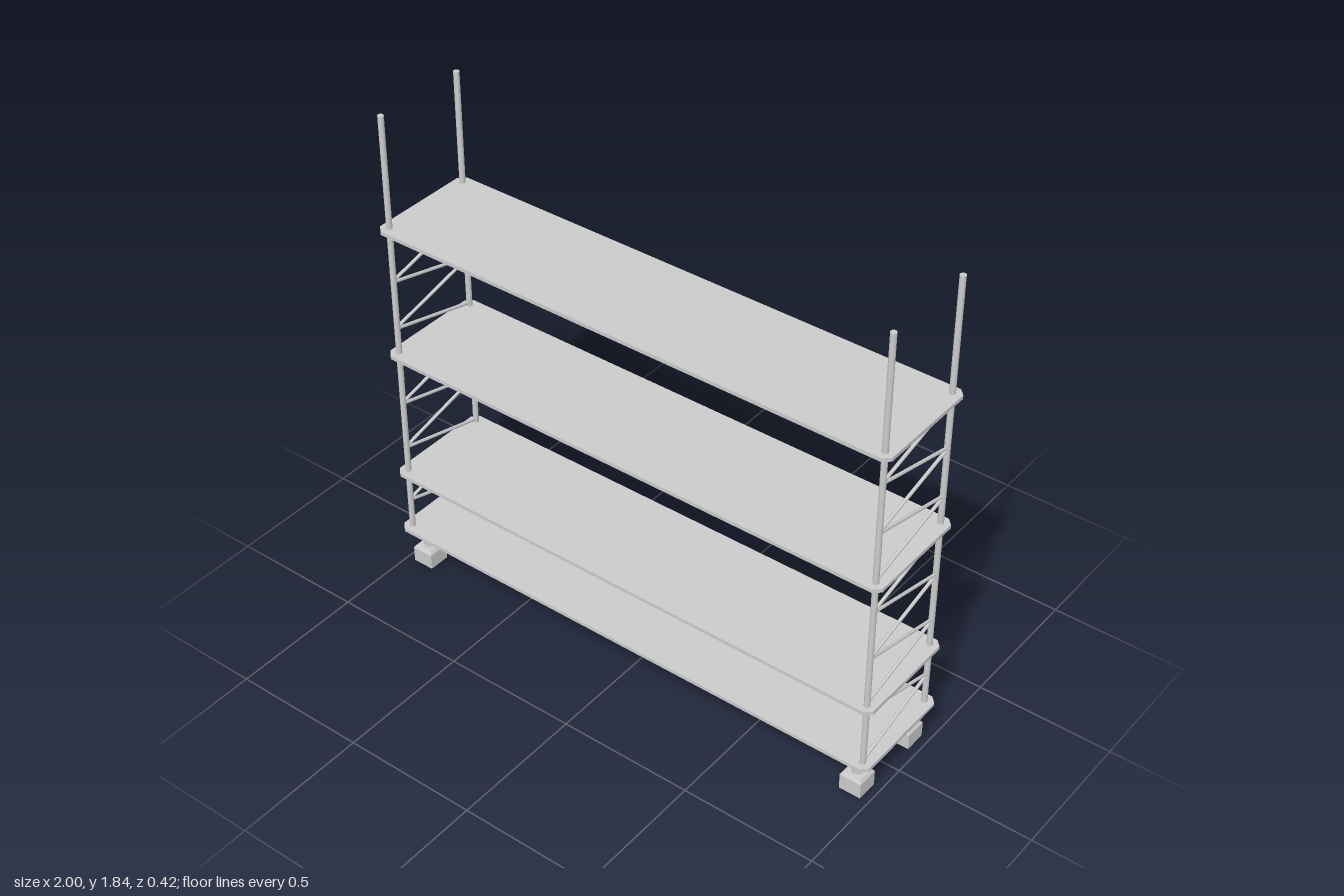
import * as THREE from 'three';

const material = new THREE.MeshStandardMaterial({ color: 0xcccccc });
const POST_X = 0.968, POST_Z = 0.18;
const SHELF_T = 0.014;
const SHELF_Y = [0.155, 0.405, 0.912, 1.411]; // shelf centre heights
const BRACES = [2, 5, 5];                      // diagonals per bay

function add(parent, name, geometry, x = 0, y = 0, z = 0) {
  const mesh = new THREE.Mesh(geometry, material);
  mesh.name = name;
  mesh.position.set(x, y, z);
  parent.add(mesh);
  return mesh;
}

// Round rod between two points
function rod(parent, name, a, b, radius) {
  const dir = b.clone().sub(a);
  const mesh = add(parent, name, new THREE.CylinderGeometry(radius, radius, dir.length(), 10));
  mesh.position.copy(a).add(b).multiplyScalar(0.5);
  mesh.quaternion.setFromUnitVectors(new THREE.Vector3(0, 1, 0), dir.normalize());
}

// Flat board with clipped corners
function shelfGeometry() {
  const w = 1, d = 0.212, c = 0.022;
  const outline = [[w - c, -d], [w, -d + c], [w, d - c], [w - c, d],
    [-w + c, d], [-w, d - c], [-w, -d + c], [-w + c, -d]];
  const shape = new THREE.Shape(outline.map(([x, z]) => new THREE.Vector2(x, z)));
  const geometry = new THREE.ExtrudeGeometry(shape, { depth: SHELF_T, bevelEnabled: false });
  return geometry.rotateX(-Math.PI / 2).translate(0, -SHELF_T / 2, 0);
}

// Square block narrowing to a chamfered top
function footBlock(parent) {
  const s = Math.SQRT1_2;
  add(parent, 'footBlock', new THREE.BoxGeometry(0.082, 0.06, 0.082), 0, 0.03, 0);
  const cap = new THREE.CylinderGeometry(0.066 * s, 0.082 * s, 0.011, 4, 1).toNonIndexed();
  cap.rotateY(Math.PI / 4).computeVertexNormals();
  add(parent, 'footChamfer', cap, 0, 0.0655, 0);
}

// One end frame: two posts and a zigzag of diagonals between shelves
function endFrame() {
  const frame = new THREE.Group();
  const bottom = SHELF_Y[0] - SHELF_T / 2, top = 1.84;
  for (const z of [-POST_Z, POST_Z]) {
    add(frame, 'post', new THREE.CylinderGeometry(0.0105, 0.0105, top - bottom, 16),
      POST_X, (top + bottom) / 2, z);
  }
  BRACES.forEach((count, bay) => {
    const low = SHELF_Y[bay] + 0.016, high = SHELF_Y[bay + 1] - 0.014;
    const pitch = (high - low) / count;
    for (let i = 0; i < count; i++) {
      const z = (i % 2 ? -1 : 1) * (POST_Z - 0.006);
      rod(frame, 'brace',
        new THREE.Vector3(POST_X, low + i * pitch + 0.004, z),
        new THREE.Vector3(POST_X, low + (i + 1) * pitch - 0.004, -z), 0.006);
    }
  });
  return frame;
}

export function createModel() {
  const model = new THREE.Group();
  model.name = 'shelvingRack';

  // Shelves
  const board = shelfGeometry();
  for (const y of SHELF_Y) add(model, 'shelf', board, 0, y, 0);

  // End frames, the second turned half around
  for (const [name, angle] of [['leftFrame', 0], ['rightFrame', Math.PI]]) {
    const frame = endFrame();
    frame.name = name;
    frame.rotation.y = angle;
    model.add(frame);
  }

  // Feet
  for (const x of [-0.927, 0.927]) {
    for (const z of [-0.142, 0.142]) {
      const foot = new THREE.Group();
      foot.name = 'foot';
      foot.position.set(x, 0, z);
      footBlock(foot);
      add(foot, 'footStem', new THREE.CylinderGeometry(0.019, 0.019, 0.082, 16), 0, 0.11, 0);
      model.add(foot);
    }
  }
  return model;
}
